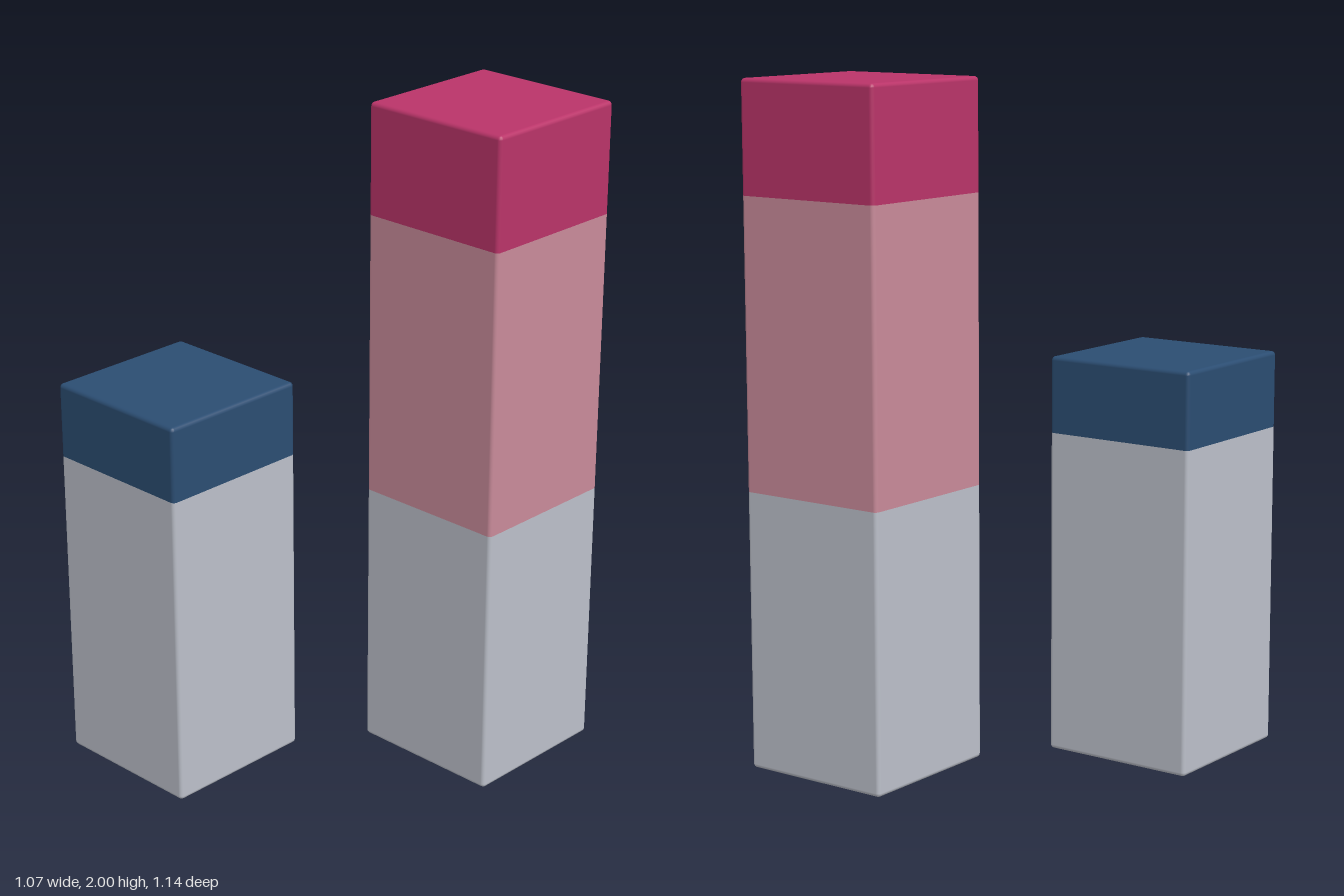
import * as THREE from 'three';

const WIDTH = 0.478, R = 0.012, STEPS = 4;

const mat = (name, color) => {
  const m = new THREE.MeshStandardMaterial({ color });
  m.name = name;
  return m;
};

// One band of a rounded square column; its outer end is closed where asked.
function bandGeometry(y0, y1, closeBottom, closeTop) {
  const core = WIDTH / 2 - R;
  const rows = []; // [tilt of normal, core height, core half width]
  if (closeBottom) {
    rows.push([-Math.PI / 2, y0 + R, 0]);
    for (let i = 0; i < STEPS; i++) rows.push([(i / STEPS - 1) * Math.PI / 2, y0 + R, core]);
    rows.push([0, y0 + R, core]);
  } else rows.push([0, y0, core]);
  if (closeTop) {
    for (let i = 0; i <= STEPS; i++) rows.push([(i / STEPS) * Math.PI / 2, y1 - R, core]);
    rows.push([Math.PI / 2, y1 - R, 0]);
  } else rows.push([0, y1, core]);

  const position = [], normal = [], index = [];
  const ring = 4 * (STEPS + 1);
  rows.forEach(([tilt, y, half], row) => {
    for (let corner = 0; corner < 4; corner++) {
      const mid = (corner + 0.5) * Math.PI / 2;
      const cx = Math.sign(Math.cos(mid)) * half;
      const cz = Math.sign(Math.sin(mid)) * half;
      for (let i = 0; i <= STEPS; i++) {
        const a = (corner + i / STEPS) * Math.PI / 2;
        const n = [Math.cos(a) * Math.cos(tilt), Math.sin(tilt), Math.sin(a) * Math.cos(tilt)];
        normal.push(...n);
        position.push(cx + R * n[0], y + R * n[1], cz + R * n[2]);
      }
    }
    if (row === 0) return;
    for (let i = 0; i < ring; i++) {
      const j = (i + 1) % ring, lo = (row - 1) * ring, hi = row * ring;
      index.push(lo + i, hi + i, lo + j, lo + j, hi + i, hi + j);
    }
  });

  const g = new THREE.BufferGeometry();
  g.setAttribute('position', new THREE.Float32BufferAttribute(position, 3));
  g.setAttribute('normal', new THREE.Float32BufferAttribute(normal, 3));
  g.setIndex(index);
  return g;
}

// A column of stacked colour bands: [name, top height, material]
function column(name, x, z, bands) {
  const group = new THREE.Group();
  group.name = name;
  group.position.set(x, 0, z);
  let y = 0;
  bands.forEach(([part, top, material], i) => {
    const mesh = new THREE.Mesh(bandGeometry(y, top, i === 0, i === bands.length - 1), material);
    mesh.name = part;
    group.add(mesh);
    y = top;
  });
  return group;
}

export function createModel() {
  const grey = mat('pale grey', 0xbcc0ca);
  const blue = mat('navy blue', 0x2b4d72);
  const rose = mat('dusty rose', 0xc98b9a);
  const crimson = mat('crimson pink', 0xba3469);

  const model = new THREE.Group();
  model.name = 'barChart';
  model.add(
    column('shortColumn', -0.295, 0.333, [
      ['shortBase', 0.96, grey],
      ['shortTop', 1.186, blue],
    ]),
    column('tallColumn', 0.295, -0.333, [
      ['tallBase', 0.823, grey],
      ['tallMiddle', 1.672, rose],
      ['tallTop', 2, crimson],
    ]),
  );
  return model;
}
